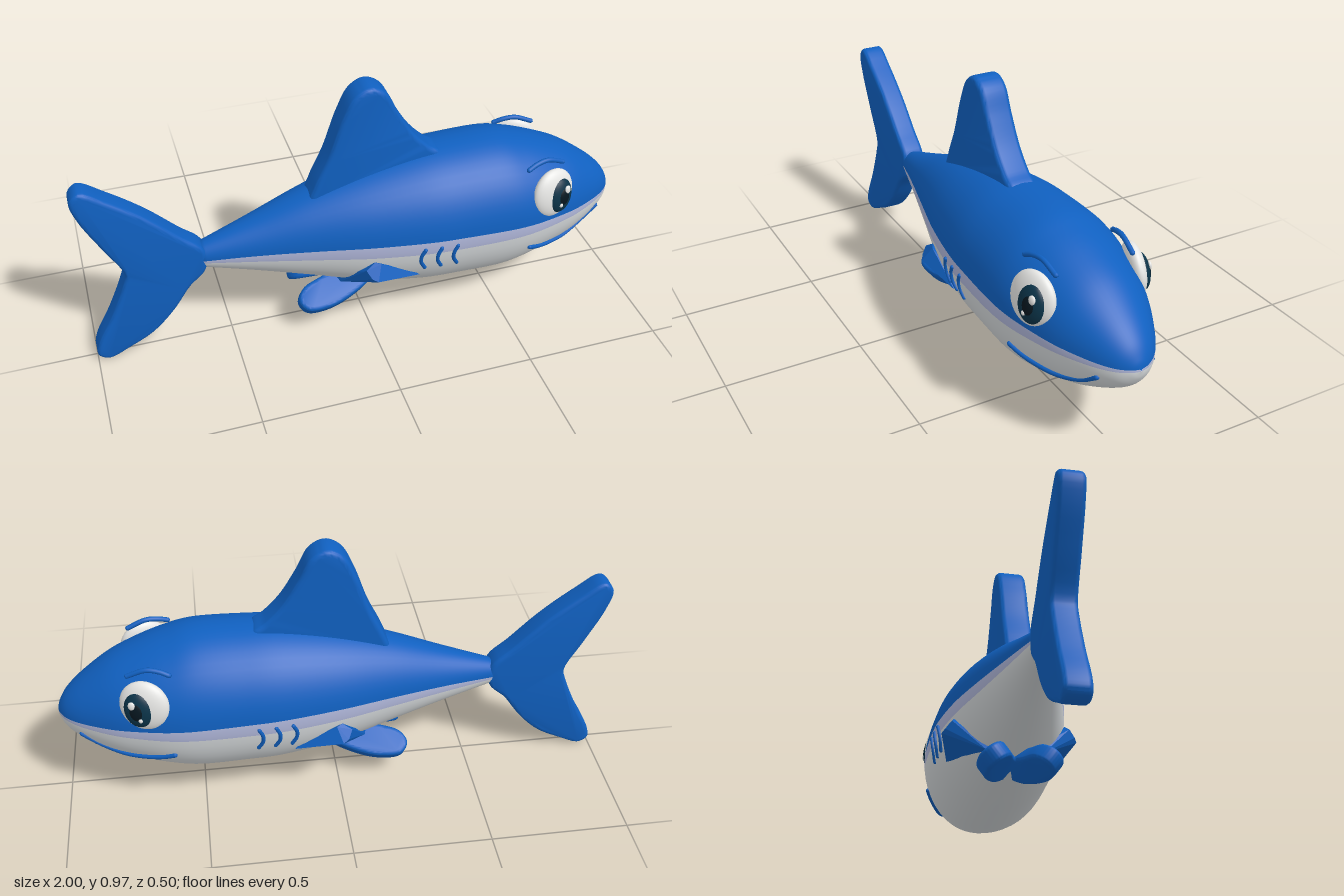
import * as THREE from 'three';
import { toCreasedNormals } from 'three/addons/utils/BufferGeometryUtils.js';
import { ConvexGeometry } from 'three/addons/geometries/ConvexGeometry.js';

const material = (name, color) => Object.assign(new THREE.MeshStandardMaterial({ color }), { name });
const V = (p) => new THREE.Vector3(...p);

// Body stations: x, top, bottom, half width
const STATIONS = [
  [-0.6, 0.42, 0.33, 0.04], [-0.4, 0.492, 0.275, 0.092], [-0.2, 0.567, 0.215, 0.147],
  [0, 0.625, 0.155, 0.2], [0.2, 0.664, 0.121, 0.235], [0.35, 0.674, 0.115, 0.244],
  [0.5, 0.674, 0.113, 0.245], [0.6, 0.652, 0.13, 0.235], [0.7, 0.618, 0.157, 0.21],
  [0.8, 0.572, 0.192, 0.175], [0.9, 0.502, 0.245, 0.122], [0.96, 0.447, 0.288, 0.076],
  [0.99, 0.4, 0.33, 0.034], [1, 0.366, 0.364, 0.001],
];
const heights = new THREE.CatmullRomCurve3(STATIONS.map(([x, t, b]) => V([x, t, b])), false, 'catmullrom');
const widths = new THREE.CatmullRomCurve3(STATIONS.map(([x, , , w]) => V([x, w, 0])), false, 'catmullrom');
const RINGS = Array.from({ length: 92 }, (_, i) => {
  const h = heights.getPoint(i / 91), w = widths.getPoint(i / 91);
  return { x: h.x, cy: (h.y + h.z) / 2, ry: Math.abs(h.y - h.z) / 2, rz: Math.abs(w.y) };
});

// Half width of the body surface at (x, y)
function surfaceZ(x, y) {
  const r = RINGS.find((ring) => ring.x >= x);
  return r.rz * Math.sqrt(Math.max(0, 1 - ((y - r.cy) / r.ry) ** 2));
}

// Lofted body; each ring is divided at the two colour lines
function bodyGeometry() {
  const B = 3, N = 24, cols = 2 * (B + N);
  const pos = [], parts = [[], [], []];
  const rings = [{ ...RINGS[0], ry: 0.0005, rz: 0.0005 }, ...RINGS];
  for (const { x, cy, ry, rz } of rings) {
    const angleAt = (y) => Math.asin(THREE.MathUtils.clamp((y - cy) / ry, -0.95, 0.95));
    const lo = angleAt(0.364);
    const hi = Math.max(lo + 0.002, angleAt(0.372 + 0.043 * (1 - ((x - 0.2) / 0.8) ** 2)));
    const spans = [[lo, hi, B], [hi, Math.PI - hi, N], [Math.PI - hi, Math.PI - lo, B], [Math.PI - lo, 2 * Math.PI + lo, N]];
    for (const [a, b, n] of spans) {
      for (let k = 0; k < n; k++) {
        const t = a + (b - a) * k / n;
        pos.push(x, cy + ry * Math.sin(t), rz * Math.cos(t));
      }
    }
  }
  for (let i = 0; i < rings.length - 1; i++) {
    for (let j = 0; j < cols; j++) {
      const part = j < B ? 1 : j < B + N ? 0 : j < 2 * B + N ? 1 : 2;
      const a = i * cols + j, b = i * cols + (j + 1) % cols;
      parts[part].push(a, a + cols, b, b, a + cols, b + cols);
    }
  }
  const g = new THREE.BufferGeometry();
  g.setAttribute('position', new THREE.Float32BufferAttribute(pos, 3));
  g.setIndex(parts.flat());
  let start = 0;
  parts.forEach((p, m) => { g.addGroup(start, p.length, m); start += p.length; });
  g.computeVertexNormals();
  return g;
}

// Rounded slab with a smooth outline, centred on its own plane
function finGeometry(points, thickness, bevel) {
  const outline = new THREE.CatmullRomCurve3(points.map(([x, y]) => V([x, y, 0])), true, 'centripetal');
  const shape = new THREE.Shape(outline.getPoints(80).slice(0, -1).map((p) => new THREE.Vector2(p.x, p.y)));
  const g = new THREE.ExtrudeGeometry(shape, {
    depth: thickness - 2 * bevel, bevelThickness: bevel, bevelSize: bevel, bevelOffset: -bevel, bevelSegments: 4,
  });
  g.translate(0, 0, bevel - thickness / 2);
  return toCreasedNormals(g, 0.6);
}

export function createModel() {
  const model = new THREE.Group();
  model.name = 'shark';
  const blue = material('blue skin', 0x1060c0);
  const band = material('lavender side band', 0xb0b7da);
  const pale = material('pale belly', 0xd6dadc);
  const white = material('eye white', 0xe6e6e4);
  const iris = material('dark teal iris', 0x0b3348);
  const black = material('pupil', 0x06161f);

  const add = (parent, name, geometry, mat) => {
    const mesh = new THREE.Mesh(geometry, mat);
    mesh.name = name;
    parent.add(mesh);
    return mesh;
  };
  const addTube = (parent, name, points, radius) => {
    const curve = new THREE.CatmullRomCurve3(points.map(V));
    add(parent, name, new THREE.TubeGeometry(curve, 24, radius, 8), blue);
    for (const t of [0, 1]) {
      add(parent, name + 'End', new THREE.SphereGeometry(radius, 8, 6), blue).position.copy(curve.getPoint(t));
    }
  };
  const addBall = (parent, name, mat, position, radii) => {
    const ball = add(parent, name, new THREE.SphereGeometry(1, 32, 20), mat);
    ball.position.set(...position);
    ball.scale.set(...radii);
  };

  add(model, 'body', bodyGeometry(), [blue, band, pale]);

  add(model, 'dorsalFin', finGeometry([
    [-0.19, 0.54], [-0.175, 0.6], [-0.12, 0.72], [-0.07, 0.86], [-0.025, 0.945], [0.03, 0.972], [0.085, 0.945],
    [0.13, 0.86], [0.19, 0.76], [0.25, 0.695], [0.295, 0.66], [0.28, 0.6], [0.05, 0.53],
  ], 0.105, 0.018), blue);

  add(model, 'tailFin', finGeometry([
    [-0.575, 0.415], [-0.65, 0.49], [-0.76, 0.6], [-0.88, 0.695], [-0.965, 0.748], [-1, 0.715], [-0.985, 0.64],
    [-0.92, 0.5], [-0.86, 0.375], [-0.87, 0.33], [-0.93, 0.19], [-0.99, 0.075], [-0.998, 0.025], [-0.96, 0.002],
    [-0.88, 0.035], [-0.79, 0.085], [-0.71, 0.165], [-0.64, 0.265], [-0.578, 0.33],
  ], 0.088, 0.016), blue);

  // Everything paired is built for the +z side, then mirrored
  for (const side of [1, -1]) {
    const half = new THREE.Group();
    half.name = side > 0 ? 'rightSide' : 'leftSide';
    half.scale.z = side;
    model.add(half);

    const pelvic = add(half, 'lowerFin', finGeometry([
      [0.07, 0], [0.03, 0.075], [-0.05, 0.125], [-0.15, 0.158], [-0.235, 0.155],
      [-0.26, 0.115], [-0.235, 0.07], [-0.15, 0.035], [-0.06, 0],
    ], 0.065, 0.014), blue);
    pelvic.rotation.x = 2.214;
    pelvic.position.y = 0.2;

    // Short wedge fin behind the gills
    add(half, 'sideFin', new ConvexGeometry([
      [0, 0.348, 0.2], [0.02, 0.343, 0.21], [0, 0.29, 0.243], [-0.035, 0.325, 0.21], [-0.02, 0.3, 0.232],
      [-0.11, 0.2, 0.05], [-0.1, 0.2, 0.1], [0.17, 0.25, 0.202], [0.14, 0.27, 0.18], [0, 0.25, 0.1],
    ].map(V)), blue);

    for (const x of [0.165, 0.225, 0.285]) {
      const arc = [[x + 0.012, 0.388], [x, 0.36], [x, 0.33], [x + 0.016, 0.297]];
      addTube(half, 'gillSlit', arc.map(([a, y]) => [a, y, surfaceZ(a, y) + 0.001]), 0.007);
    }

    const smile = [[0.595, 0.288], [0.64, 0.27], [0.7, 0.258], [0.77, 0.257], [0.85, 0.278], [0.917, 0.325]];
    addTube(half, 'mouth', smile.map(([x, y]) => [x, y, surfaceZ(x, y) + 0.003]), 0.009);
    addTube(half, 'eyebrow', [[0.587, 0.6, 0.164], [0.62, 0.613, 0.156], [0.665, 0.618, 0.148], [0.73, 0.594, 0.14]], 0.009);

    const eye = new THREE.Group();
    eye.name = 'eye';
    eye.position.set(0.68, 0.498, 0.187);
    eye.rotation.set(-0.15, 0.3, 0);
    half.add(eye);
    addBall(eye, 'eyeball', white, [0, 0, 0], [0.089, 0.094, 0.036]);
    addBall(eye, 'iris', iris, [0.014, -0.006, 0.02], [0.053, 0.068, 0.027]);
    addBall(eye, 'pupil', black, [0.016, -0.006, 0.03], [0.032, 0.044, 0.02]);
    addBall(eye, 'largeGlint', white, [0.03, 0.02, 0.044], [0.013, 0.016, 0.007]);
    addBall(eye, 'smallGlint', white, [0.004, -0.036, 0.041], [0.008, 0.01, 0.007]);
  }
  return model;
}
